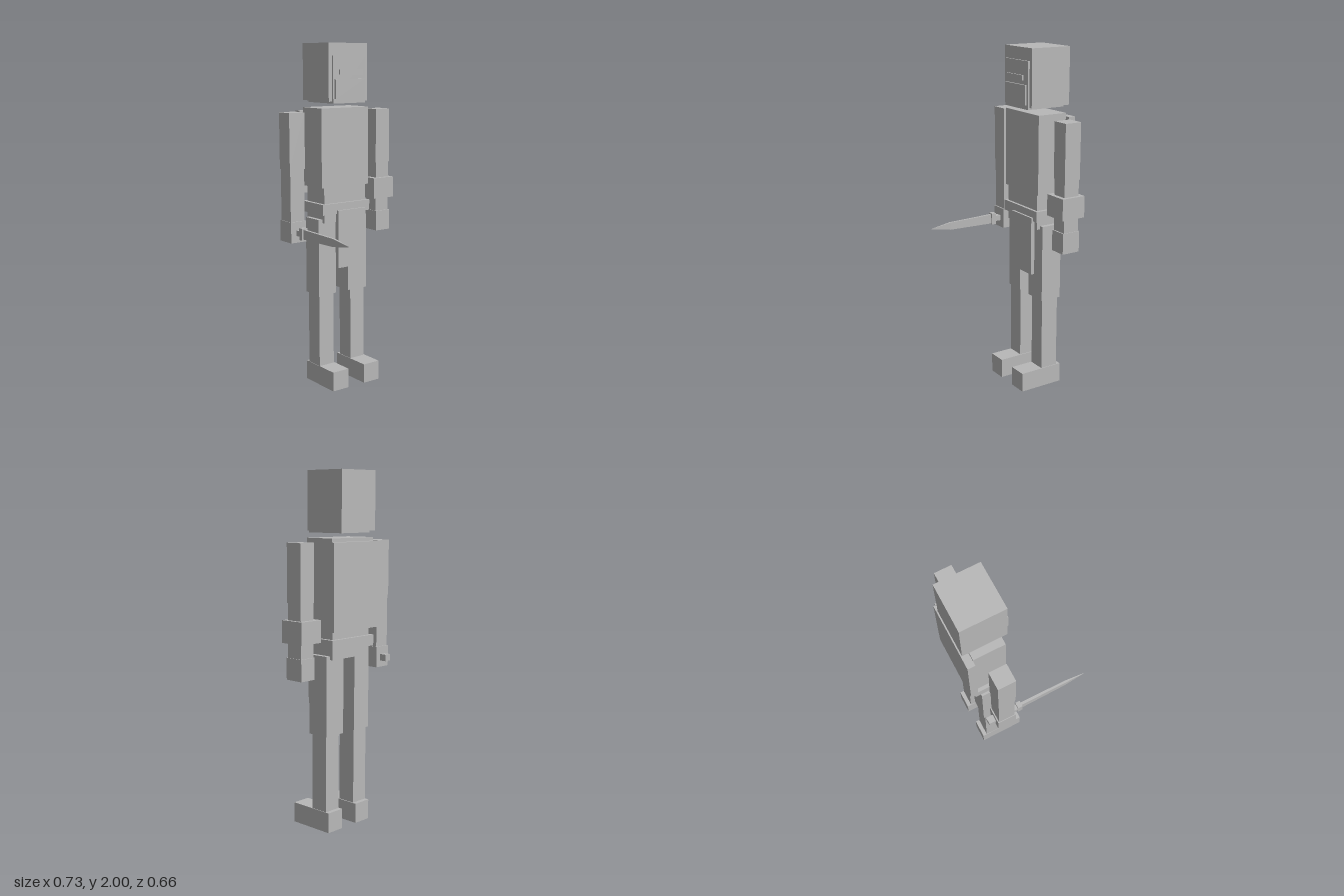
import * as THREE from 'three';

export function createModel() {
  const model = new THREE.Group();
  const stone = new THREE.MeshStandardMaterial({ color: 0xb8b8b8 });
  stone.name = 'plain grey';

  // Box given by its [min, max] range on each axis
  function box(name, [x0, x1], [y0, y1], [z0, z1], parent = model) {
    const mesh = new THREE.Mesh(new THREE.BoxGeometry(x1 - x0, y1 - y0, z1 - z0), stone);
    mesh.name = name;
    mesh.position.set((x0 + x1) / 2, (y0 + y1) / 2, (z0 + z1) / 2);
    parent.add(mesh);
    return mesh;
  }

  function group(name) {
    const g = new THREE.Group();
    g.name = name;
    model.add(g);
    return g;
  }

  // Head: helmet around a face block, with jaw guard and eye bar
  const head = group('head');
  box('helmet', [-0.146, 0.125], [1.676, 2], [-0.328, -0.075], head);
  box('face', [-0.123, 0.103], [1.665, 1.93], [-0.307, -0.064], head);
  box('jawGuard', [-0.113, 0.091], [1.69, 1.80], [-0.066, -0.053], head);
  box('eyeBar', [-0.089, 0.07], [1.825, 1.853], [-0.056, -0.046], head);

  // Torso, back plate, waist, belt and hanging cloth
  const body = group('body');
  box('chest', [-0.178, 0.155], [1.185, 1.638], [-0.285, -0.102], body);
  box('backPlate', [-0.202, 0.183], [1.14, 1.618], [-0.329, -0.285], body);
  box('waist', [-0.158, 0.138], [0.98, 1.2], [-0.278, -0.108], body);
  box('belt', [-0.179, 0.158], [1.03, 1.092], [-0.296, -0.092], body);
  box('frontCloth', [-0.079, 0.122], [0.71, 1.05], [-0.103, -0.08], body);

  // Legs
  const legs = [
    { name: 'rightLeg', thigh: [-0.184, -0.063], shin: [-0.177, -0.074], foot: [-0.179, -0.068] },
    { name: 'leftLeg', thigh: [0.028, 0.164], shin: [0.051, 0.154], foot: [0.048, 0.159] },
  ];
  for (const { name, thigh, shin, foot } of legs) {
    const leg = group(name);
    box('thigh', thigh, [0.55, 1.0], [-0.258, -0.129], leg);
    box('shin', shin, [0.1, 0.56], [-0.246, -0.139], leg);
    box('foot', foot, [0, 0.115], [-0.271, 0], leg);
  }

  // Arms
  for (const [name, x] of [['rightArm', -0.316], ['leftArm', 0.298]]) {
    const arm = group(name);
    box('upperArm', [x - 0.051, x + 0.051], [1.3, 1.618], [-0.245, -0.143], arm);
    box('forearm', [x - 0.047, x + 0.047], [1.0, 1.31], [-0.242, -0.146], arm);
    box('hand', [x - 0.051, x + 0.051], [0.885, 1.005], [-0.249, -0.138], arm);
    if (x > 0) box('bracer', [0.218, 0.365], [1.085, 1.208], [-0.269, -0.121], arm);
  }

  // Short sword held forward in the right hand
  const sword = group('sword');
  box('pommel', [-0.336, -0.296], [0.922, 0.96], [-0.29, -0.248], sword);
  box('grip', [-0.332, -0.3], [0.925, 0.957], [-0.255, -0.1], sword);
  box('guard', [-0.334, -0.298], [0.907, 0.975], [-0.106, -0.078], sword);

  // Blade: square section that narrows to a point
  let bladeShape = new THREE.BoxGeometry(1, 1, 2, 1, 1, 2);
  const p = bladeShape.attributes.position;
  const sections = [[0.016, 0.056, -0.08], [0.013, 0.044, 0.205], [0.002, 0.003, 0.33]];
  for (let i = 0; i < p.count; i++) {
    const [w, h, z] = sections[Math.round(p.getZ(i)) + 1];
    p.setXYZ(i, -0.316 + p.getX(i) * w, 0.94 + p.getY(i) * h, z);
  }
  bladeShape = bladeShape.toNonIndexed();
  bladeShape.computeVertexNormals();
  const blade = new THREE.Mesh(bladeShape, stone);
  blade.name = 'blade';
  sword.add(blade);

  return model;
}
